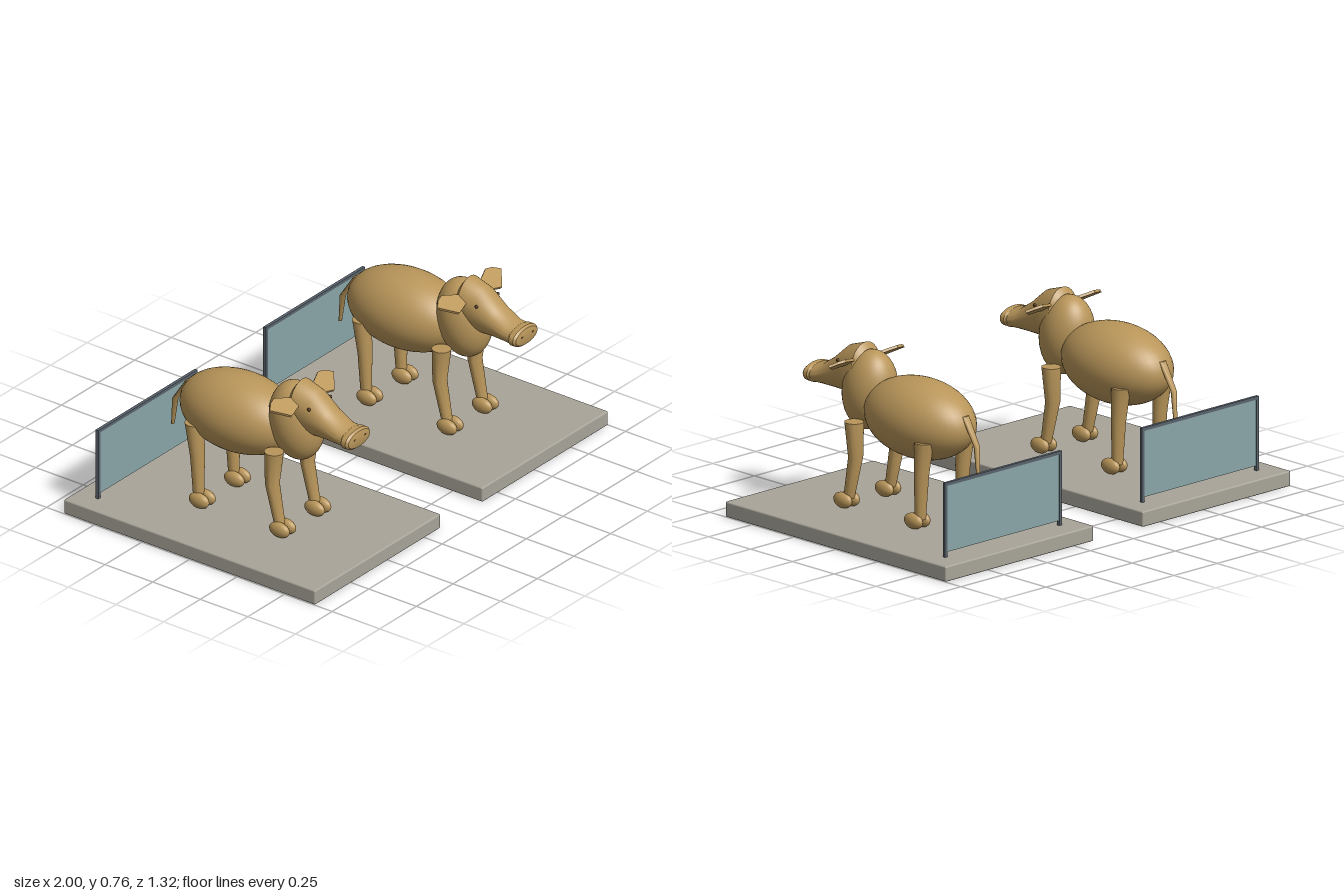
import * as THREE from 'three';
import { toCreasedNormals } from 'three/addons/utils/BufferGeometryUtils.js';
import { RoundedBoxGeometry } from 'three/addons/geometries/RoundedBoxGeometry.js';

function material(name, color) {
  const m = new THREE.MeshStandardMaterial({ color });
  m.name = name;
  return m;
}

function add(parent, name, geometry, mat, x = 0, y = 0, z = 0) {
  const mesh = new THREE.Mesh(geometry, mat);
  mesh.name = name;
  mesh.position.set(x, y, z);
  parent.add(mesh);
  return mesh;
}

function ellipsoid(rx, ry, rz, w = 40, h = 24) {
  return new THREE.SphereGeometry(1, w, h).scale(rx, ry, rz);
}

// Closed skin through elliptical rings [x, y, z, rx, r]; r runs along 'y' (rings
// listed back to front) or along 'z' (rings listed top to bottom).
function loft(rings, axis, sides = 32) {
  const pos = [], index = [], n = rings.length;
  for (const [x, y, z, rx, r] of rings) {
    for (let j = 0; j < sides; j++) {
      const a = (j / sides) * Math.PI * 2, s = r * Math.sin(a);
      pos.push(x + rx * Math.cos(a), axis === 'y' ? y + s : y, axis === 'z' ? z + s : z);
    }
  }
  pos.push(...rings[0].slice(0, 3), ...rings[n - 1].slice(0, 3));
  for (let j = 0; j < sides; j++) {
    const k = (j + 1) % sides, last = (n - 1) * sides;
    for (let i = 0; i < n - 1; i++) {
      const a = i * sides + j, b = i * sides + k;
      index.push(a, b, a + sides, b, b + sides, a + sides);
    }
    index.push(n * sides, k, j, n * sides + 1, last + j, last + k);
  }
  const g = new THREE.BufferGeometry();
  g.setAttribute('position', new THREE.Float32BufferAttribute(pos, 3));
  g.setIndex(index);
  return toCreasedNormals(g, 0.6);
}

function createPig(hide, dark) {
  const pig = new THREE.Group();
  pig.name = 'pig';

  // Trunk and neck
  add(pig, 'body', ellipsoid(0.175, 0.172, 0.287), hide, 0, 0.498, -0.065);
  add(pig, 'neck', ellipsoid(0.112, 0.176, 0.122), hide, 0, 0.557, 0.236).rotation.x = -0.18;

  // Head tapering into the snout
  add(pig, 'head', loft([
    [0, 0.635, 0.243, 0.078, 0.095],
    [0, 0.640, 0.262, 0.087, 0.117],
    [0, 0.627, 0.345, 0.080, 0.103],
    [0, 0.597, 0.420, 0.071, 0.070],
    [0, 0.575, 0.490, 0.070, 0.046],
    [0, 0.571, 0.535, 0.076, 0.043],
  ], 'y', 40), hide);
  add(pig, 'snout', loft([
    [0, 0.572, 0.522, 0.077, 0.040],
    [0, 0.572, 0.530, 0.083, 0.045],
    [0, 0.572, 0.552, 0.083, 0.044],
    [0, 0.572, 0.562, 0.074, 0.036],
    [0, 0.572, 0.566, 0.050, 0.022],
  ], 'y', 40), hide);

  for (const side of [-1, 1]) {
    add(pig, 'nostril', ellipsoid(0.012, 0.008, 0.004, 16, 10), dark, side * 0.036, 0.580, 0.563);
    add(pig, 'eye', ellipsoid(0.006, 0.008, 0.008, 16, 10), dark, side * 0.073, 0.672, 0.354);

    // Ear: a thin leaf sloping down towards the front
    const leaf = [[0.065, -0.02], [0.15, -0.058], [0.185, -0.048], [0.218, -0.022], [0.145, 0.048], [0.065, 0.025]];
    const shape = new THREE.Shape(leaf.map(([x, y]) => new THREE.Vector2(side * x, y)));
    const ear = new THREE.ExtrudeGeometry(shape, { depth: 0.012, bevelEnabled: false });
    add(pig, 'ear', ear, hide, 0, 0.688, 0.28).rotation.x = 2.11;

    // Legs with cloven hooves: [z and radius at top, knee, ankle], hoof z
    const x = side * 0.12;
    const legs = [
      ['frontLeg', 0.207, 0.198, 0.238, 0.252],
      ['hindLeg', -0.211, -0.195, -0.189, -0.170],
    ];
    for (const [name, top, knee, ankle, hoof] of legs) {
      add(pig, name, loft([
        [x, 0.447, top, 0.040, 0.042],
        [x, 0.295, knee, 0.033, 0.030],
        [x, 0.110, ankle, 0.024, 0.023],
      ], 'z', 24), hide);
      for (const toe of [-1, 1]) {
        add(pig, 'hoof', ellipsoid(0.024, 0.034, 0.051, 24, 16), hide, x + toe * 0.022, 0.101, hoof);
      }
    }
  }

  // Bent tail
  add(pig, 'tail', loft([
    [-0.005, 0.560, -0.328, 0.019, 0.013],
    [0.004, 0.445, -0.407, 0.014, 0.013],
    [0.018, 0.312, -0.431, 0.008, 0.007],
  ], 'z', 16), hide);
  return pig;
}

function createScreen(glass, frame) {
  const screen = new THREE.Group();
  screen.name = 'screen';
  add(screen, 'pane', new THREE.BoxGeometry(0.66, 0.29, 0.008), glass, 0, 0.233, -0.555);
  add(screen, 'topRail', new THREE.BoxGeometry(0.676, 0.014, 0.014), frame, 0, 0.383, -0.555);
  for (const side of [-1, 1]) {
    add(screen, 'post', new THREE.BoxGeometry(0.014, 0.325, 0.014), frame, side * 0.331, 0.2275, -0.555);
  }
  return screen;
}

export function createModel() {
  const hide = material('tan hide', 0xb9965a);
  const dark = material('dark brown', 0x54391c);
  const stone = material('warm grey stone', 0xa8a499);
  const glass = material('teal glass', 0x8aa6a8);
  const frame = material('slate frame', 0x59636c);

  const model = new THREE.Group();
  model.name = 'pigPens';
  for (const side of [-1, 1]) {
    const pen = new THREE.Group();
    pen.name = side < 0 ? 'rightPen' : 'leftPen';
    pen.position.x = side * 0.571;
    add(pen, 'slab', new RoundedBoxGeometry(0.858, 0.067, 1.32, 2, 0.007), stone, 0, 0.0335, 0);
    pen.add(createScreen(glass, frame), createPig(hide, dark));
    model.add(pen);
  }
  return model;
}
